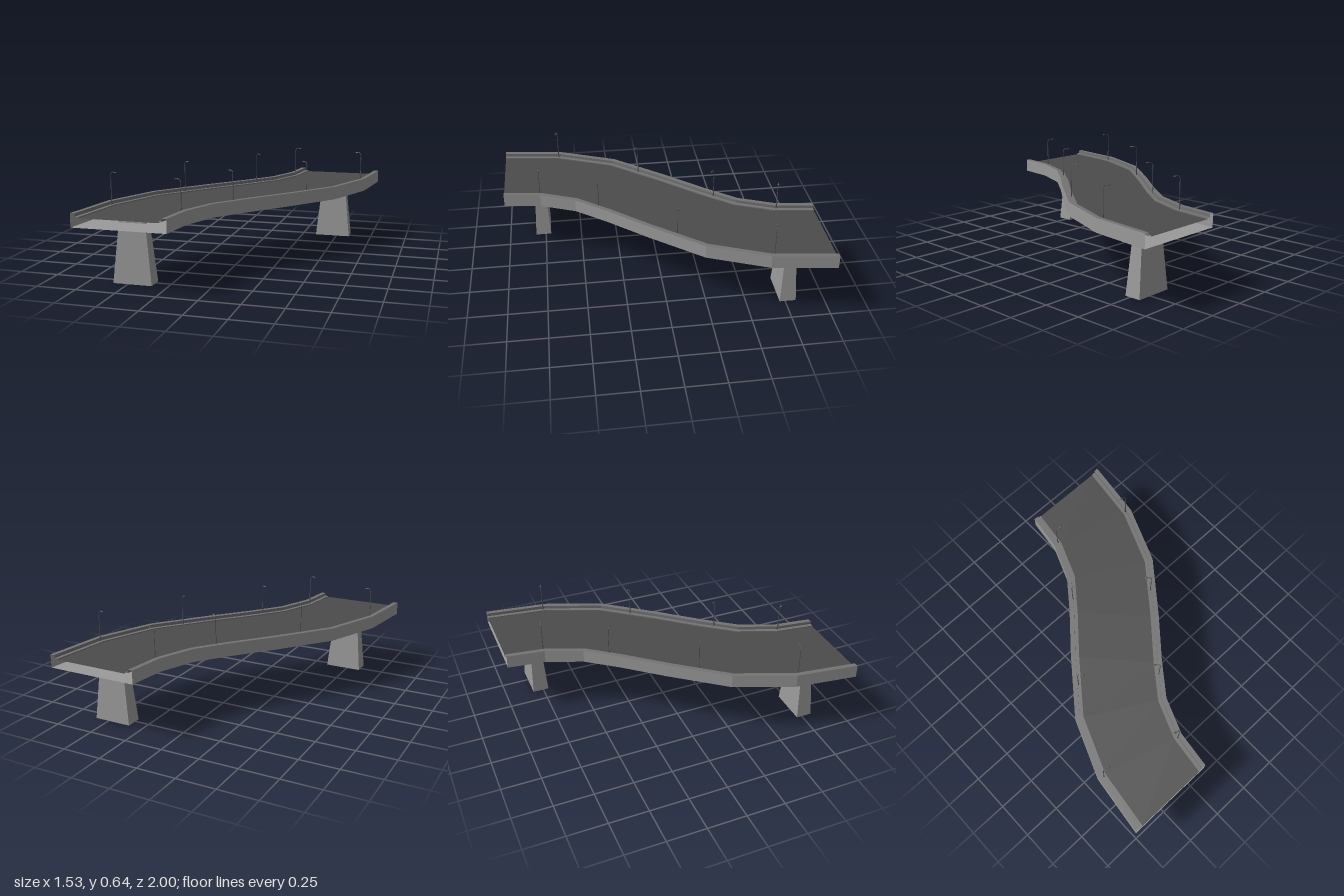
import * as THREE from 'three';

const mat = (name, color) => new THREE.MeshStandardMaterial({ name, color, side: THREE.DoubleSide, flatShading: true });

// Outer edge of the deck on one side as [x, z]; the other side is its half turn
const west = [[0.177, -1], [0.145, -0.76], [0.052, -0.53], [-0.1, -0.333],
  [-0.305, -0.092], [-0.56, 0.23], [-0.71, 0.6], [-0.763, 1]];
const east = west.map((_, i) => west[7 - i].map(v => -v));

// Point at fraction u across the deck at station i
const at = (i, u, y) => [
  THREE.MathUtils.lerp(west[i][0], east[i][0], u), y,
  THREE.MathUtils.lerp(west[i][1], east[i][1], u)];

// Strip along the deck between two points of the cross-section
function ribbon(name, a, b, material) {
  const pos = [];
  for (let i = 0; i < 7; i++) {
    const a0 = at(i, ...a), a1 = at(i + 1, ...a), b0 = at(i, ...b), b1 = at(i + 1, ...b);
    pos.push(...a0, ...a1, ...b0, ...b0, ...a1, ...b1);
  }
  const g = new THREE.BufferGeometry();
  g.setAttribute('position', new THREE.Float32BufferAttribute(pos, 3));
  g.computeVertexNormals();
  const mesh = new THREE.Mesh(g, material);
  mesh.name = name;
  return mesh;
}

// Street lamp with its arm reaching along +x
function lamp(material) {
  const group = new THREE.Group();
  group.name = 'streetLamp';
  const add = (name, geometry, x, y) => {
    const mesh = new THREE.Mesh(geometry, material);
    mesh.name = name;
    mesh.position.set(x, y, 0);
    group.add(mesh);
  };
  add('lampBase', new THREE.CylinderGeometry(0.004, 0.004, 0.04, 6), 0, 0.02);
  add('lampPole', new THREE.CylinderGeometry(0.002, 0.003, 0.19, 6), 0, 0.095);
  const bend = new THREE.CatmullRomCurve3([[0, 0.185], [0.004, 0.197], [0.014, 0.204], [0.026, 0.205]]
    .map(([x, y]) => new THREE.Vector3(x, y, 0)));
  add('lampArm', new THREE.TubeGeometry(bend, 8, 0.002, 6), 0, 0);
  add('lampHead', new THREE.SphereGeometry(1, 8, 6).scale(0.012, 0.004, 0.006), 0.034, 0.203);
  return group;
}

export function createModel() {
  const model = new THREE.Group();
  const concrete = mat('concrete', 0x9a9a9a);
  const kerb = mat('kerbGray', 0x737373);
  const asphalt = mat('asphalt', 0x4b4b4b);
  const metal = mat('lampMetal', 0x50545a);

  // Hollow deck, open at both ends, following the S-bend
  const deck = new THREE.Group();
  deck.name = 'deck';
  const section = [[0, 0.37], [0, 0.43], [0, 0.455], [0.05, 0.455], [0.05, 0.435], [0.09, 0.435], [0.09, 0.428]];
  const strips = [['sideWall', concrete], ['parapetOuter', concrete], ['parapetTop', kerb],
    ['parapetInner', kerb], ['walkway', kerb], ['kerbFace', kerb]];
  const mirror = ([u, y]) => [1 - u, y];
  strips.forEach(([name, material], k) => {
    const a = section[k], b = section[k + 1];
    deck.add(ribbon(name + 'Right', a, b, material));
    deck.add(ribbon(name + 'Left', mirror(b), mirror(a), material));
  });
  deck.add(ribbon('road', section[6], mirror(section[6]), asphalt));
  deck.add(ribbon('underside', mirror(section[0]), section[0], concrete));
  model.add(deck);

  // Tapered piers
  for (const s of [1, -1]) {
    const g = new THREE.BoxGeometry(0.245, 0.388, 0.105);
    const p = g.attributes.position;
    for (let i = 0; i < p.count; i++) {
      if (p.getY(i) > 0) p.setXYZ(i, p.getX(i) * 0.67, p.getY(i), p.getZ(i) * 0.62);
    }
    g.computeVertexNormals();
    const pier = new THREE.Mesh(g, concrete);
    pier.name = 'pier';
    pier.position.set(-0.47 * s, 0.194, 0.767 * s);
    model.add(pier);
  }

  // Lamps on both walkways: x, z and inward angle
  const spots = [[0.177, -0.76, 16], [-0.025, -0.383, 41], [-0.395, 0.08, 40], [-0.678, 0.623, 16]];
  for (const [x, z, angle] of spots) {
    for (const s of [1, -1]) {
      const post = lamp(metal);
      post.position.set(x * s, 0.433, z * s);
      post.rotation.y = -THREE.MathUtils.degToRad(angle) + (s < 0 ? Math.PI : 0);
      model.add(post);
    }
  }
  return model;
}
